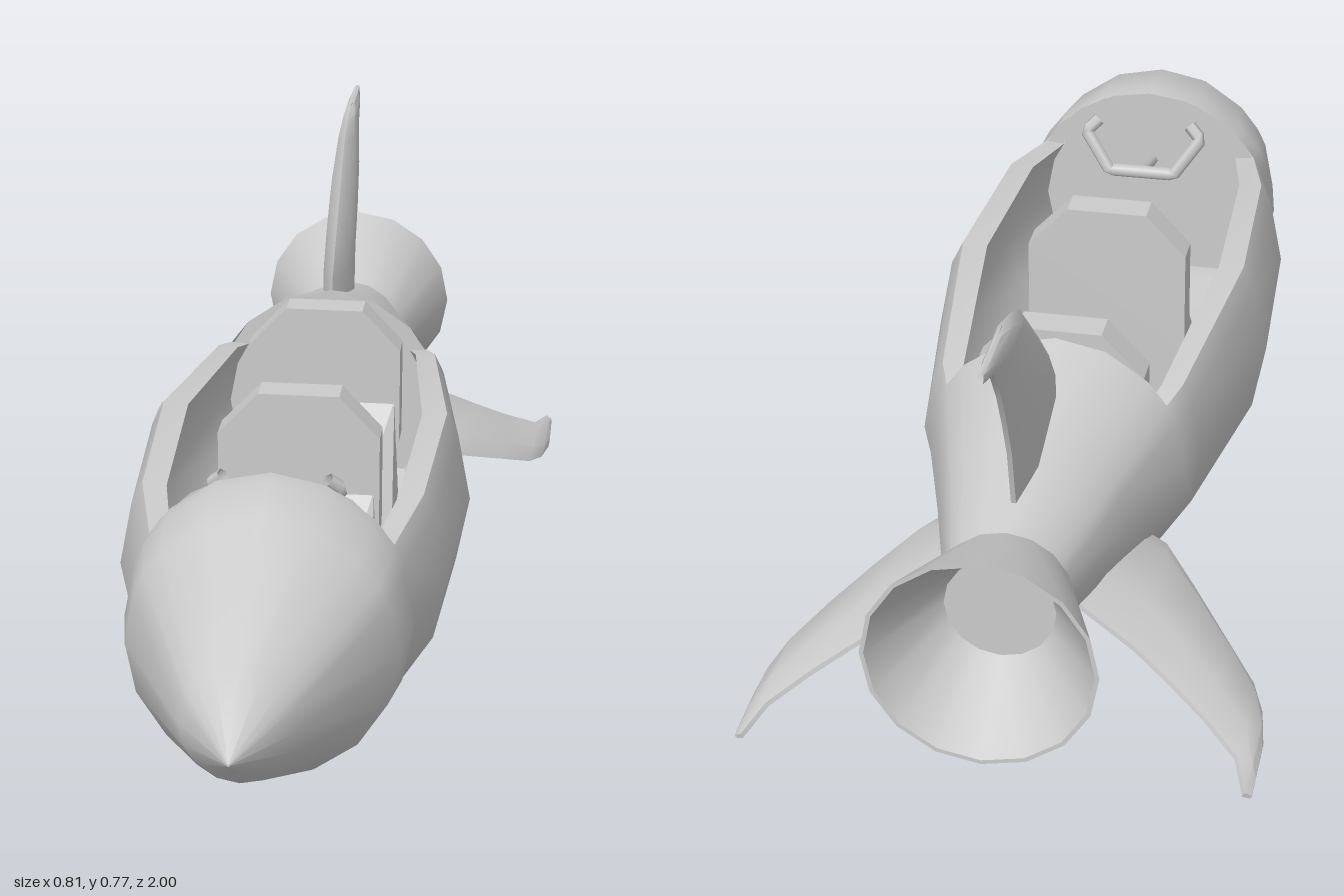
import * as THREE from 'three';
import { toCreasedNormals } from 'three/addons/utils/BufferGeometryUtils.js';
import { ConvexGeometry } from 'three/addons/geometries/ConvexGeometry.js';

const AXIS = 0.305; // height of the hull's centre line
const SQUASH = 0.955; // hull is slightly narrower than tall
const mat = new THREE.MeshStandardMaterial({ color: 0xcccccc, side: THREE.DoubleSide });

function add(parent, name, geometry) {
  const mesh = new THREE.Mesh(geometry, mat);
  mesh.name = name;
  parent.add(mesh);
  return mesh;
}

// Joins a list of equal-length cross-sections; skip(i, j) leaves a hole.
function loft(rings, closed = true, skip = () => false) {
  const n = rings[0].length;
  const index = [];
  for (let i = 0; i < rings.length - 1; i++) {
    for (let j = 0; j < (closed ? n : n - 1); j++) {
      if (skip(i, j)) continue;
      const k = (j + 1) % n;
      const a = i * n + j, b = i * n + k, c = a + n, d = b + n;
      index.push(a, c, b, b, c, d);
    }
  }
  const g = new THREE.BufferGeometry();
  g.setAttribute('position', new THREE.Float32BufferAttribute(rings.flat(2), 3));
  g.setIndex(index);
  g.computeVertexNormals();
  return g;
}

function hullPoint(deg, r, z) {
  const a = THREE.MathUtils.degToRad(deg);
  return [Math.cos(a) * r * SQUASH, AXIS + Math.sin(a) * r, z];
}

// Hull stations [z, radius], nose to tail; cockpit lies between stations 4 and 8
const STATIONS = [[1, 0.002], [0.88, 0.096], [0.62, 0.228], [0.52, 0.245], [0.48, 0.243],
  [0.33, 0.286], [0, 0.305], [-0.36, 0.247], [-0.41, 0.225], [-0.6, 0.164], [-0.8, 0.105]];

function buildHull(group) {
  const angles = [31.5, 148.5];
  for (let k = 0; k < 16; k++) angles.push(k * 22.5);
  angles.sort((a, b) => a - b);
  const rings = STATIONS.map(([z, r]) => angles.map(a => hullPoint(a, r, z)));
  add(group, 'hull', loft(rings, true, (i, j) => i >= 4 && i < 8 && j >= 2 && j <= 7));

  // Cockpit rim, inner walls and floor in one strip
  const half = [[31.5, 1], [36, 0.87], [22.5, 0.87], [0, 0.87], [-22.5, 0.87], [-40, 0.87]];
  const section = [...half, ...half.map(([a, s]) => [180 - a, s]).reverse()];
  const liner = STATIONS.slice(3, 9).map(([z, r]) => section.map(([a, s]) => hullPoint(a, r * s, z)));
  add(group, 'cockpitLiner', toCreasedNormals(loft(liner, false), 0.6));

  // Bulkheads closing both ends of the cockpit
  for (const [name, z, r] of [['frontBulkhead', 0.52, 0.243], ['rearBulkhead', -0.41, 0.225]]) {
    const disc = add(group, name, new THREE.CircleGeometry(r, 16));
    disc.scale.x = SQUASH;
    disc.position.set(0, AXIS, z);
  }
  // Thick edge of the nose hood
  const lip = add(group, 'hoodLip', new THREE.RingGeometry(0.215, 0.243, 8, 1, Math.PI / 8, Math.PI * 0.75));
  lip.scale.x = SQUASH;
  lip.position.set(0, AXIS, 0.48);
}

function buildNozzle(group) {
  const profile = [[0, -0.85], [0.088, -0.85], [0.176, -1], [0.183, -1], [0.105, -0.8]]
    .map(([r, z]) => new THREE.Vector2(r, z));
  const g = new THREE.LatheGeometry(profile, 16).rotateX(Math.PI / 2);
  add(group, 'nozzle', toCreasedNormals(g, 0.6)).position.y = AXIS;
}

// Swept fin: [distance from axis, leading z, trailing z, half thickness]
function finGeometry() {
  const stations = [[0.09, -0.46, -0.735, 0.023], [0.225, -0.465, -0.765, 0.023],
    [0.295, -0.535, -0.795, 0.023], [0.365, -0.61, -0.83, 0.021], [0.43, -0.68, -0.875, 0.015],
    [0.455, -0.735, -0.945, 0.011], [0.467, -0.8, -0.94, 0.005]];
  const rings = stations.map(([y, lead, trail, t]) => {
    const at = f => lead + (trail - lead) * f;
    return [[0, y, lead], [t, y, at(0.2)], [t, y, at(0.7)], [0.004, y, trail],
      [-0.004, y, trail], [-t, y, at(0.7)], [-t, y, at(0.2)]];
  });
  // Tip closes to a ridge
  rings.push(rings.at(-1).map(([, y, z]) => [0, y + 0.002, z]));
  return toCreasedNormals(loft(rings), 0.7);
}

function buildSeat(z) {
  const seat = new THREE.Group();
  seat.name = 'seat';
  // Octagonal backrest
  const outline = [[-0.07, 0.525], [-0.14, 0.45], [-0.14, 0.27], [-0.08, 0.16],
    [0.08, 0.16], [0.14, 0.27], [0.14, 0.45], [0.07, 0.525]];
  const shape = new THREE.Shape(outline.map(p => new THREE.Vector2(...p)));
  add(seat, 'backrest', new THREE.ExtrudeGeometry(shape, { depth: 0.055, bevelEnabled: false }));
  // Sloping cushion with chamfered sides
  const points = [];
  for (const s of [-1, 1]) {
    points.push(new THREE.Vector3(s * 0.14, 0.14, 0.05), new THREE.Vector3(s * 0.14, 0.14, 0.2),
      new THREE.Vector3(s * 0.07, 0.14, 0.235), new THREE.Vector3(s * 0.07, 0.17, 0.23),
      new THREE.Vector3(s * 0.13, 0.35, 0.05));
  }
  add(seat, 'cushion', new ConvexGeometry(points));
  seat.position.z = z;
  return seat;
}

function buildYoke(group) {
  const yoke = new THREE.Group();
  yoke.name = 'steeringYoke';
  const half = [[0.085, 0.515, 0.425], [0.107, 0.495, 0.412], [0.06, 0.43, 0.39]];
  const pts = [...half, ...half.map(([x, y, z]) => [-x, y, z]).reverse()].map(p => new THREE.Vector3(...p));
  const path = new THREE.CurvePath();
  for (let i = 0; i < pts.length - 1; i++) path.add(new THREE.LineCurve3(pts[i], pts[i + 1]));
  add(yoke, 'handlebar', new THREE.TubeGeometry(path, 40, 0.012, 6));
  const stem = new THREE.LineCurve3(new THREE.Vector3(0, 0.43, 0.39), new THREE.Vector3(0, 0.39, 0.52));
  add(yoke, 'steeringColumn', new THREE.TubeGeometry(stem, 1, 0.01, 6));
  group.add(yoke);
}

export function createModel() {
  const group = new THREE.Group();
  group.name = 'rocketShip';
  buildHull(group);
  buildNozzle(group);
  const fin = finGeometry();
  ['topFin', 'rightFin', 'leftFin'].forEach((name, i) => {
    const mesh = add(group, name, fin);
    mesh.position.y = AXIS;
    mesh.rotation.z = i * Math.PI * 2 / 3;
  });
  group.add(buildSeat(0.04), buildSeat(-0.38));
  buildYoke(group);
  return group;
}
